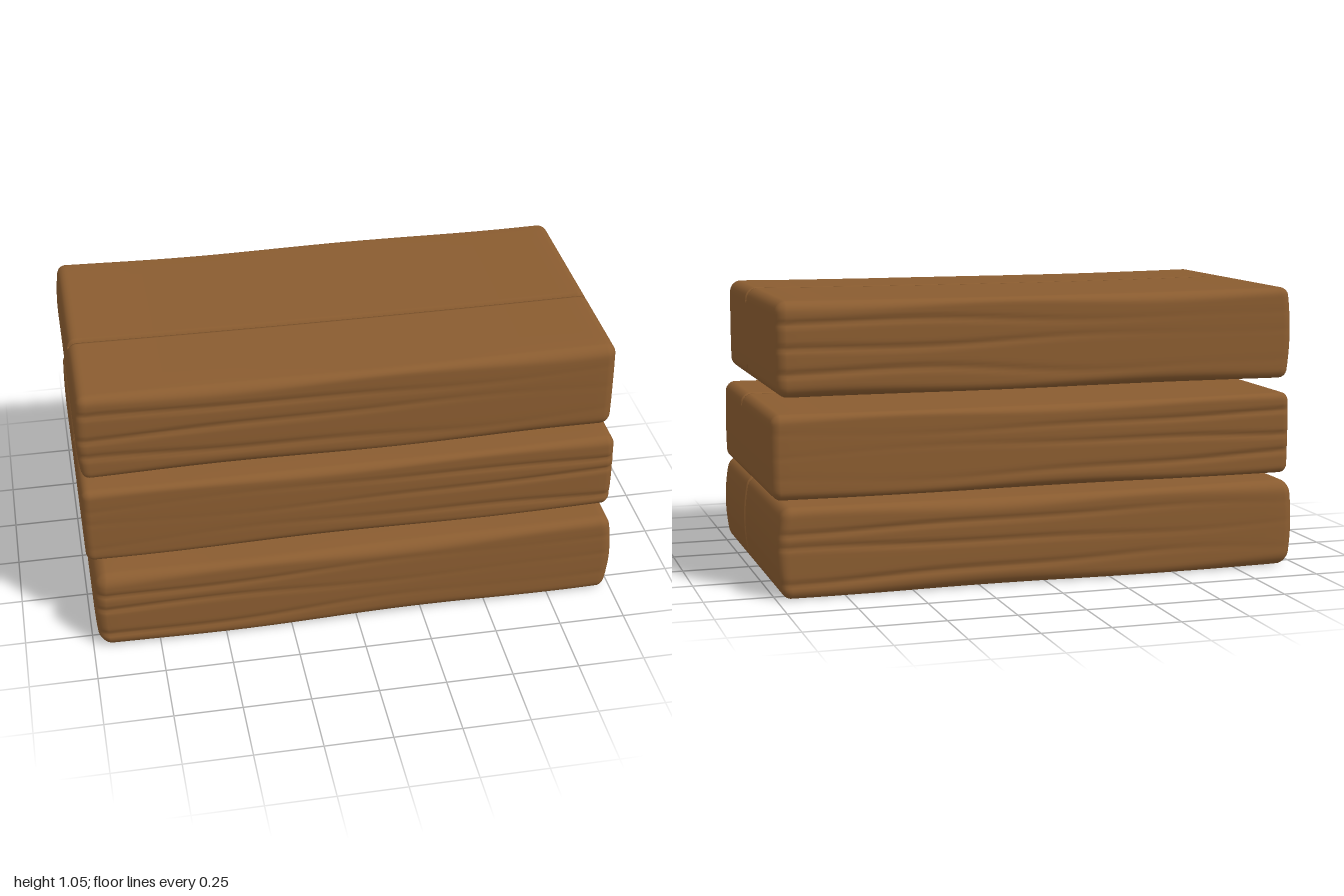
import * as THREE from 'three';
import { mergeVertices } from 'three/addons/utils/BufferGeometryUtils.js';

const GROOVE_Z = 0.1;
const GROOVE_HALF_WIDTH = 0.014;

// Grid positions along one axis: dense in the rounded edges, even between them
function axisStops(half, r, count, extra = []) {
  const rim = [45, 30, 15, 0].map((a) => half - r + r * Math.tan((a * Math.PI) / 180));
  const inner = half - r;
  const stops = [...rim, ...rim.map((v) => -v), ...extra];
  for (let i = 1; i < count; i++) stops.push(-inner + (2 * inner * i) / count);
  return stops.sort((a, b) => a - b);
}

// Narrow carved line at height c
const cut = (v, c, w) => Math.exp(-(((v - c) / w) ** 2));

// Wood grain depth on the long sides
function grain(x, t, seed) {
  const sway = 0.06 * Math.sin(x * 2.6 + seed) + 0.025 * Math.sin(x * 6 + seed * 2);
  const fade = 0.55 + 0.45 * Math.sin(x * 2 + seed * 1.7 + 2.5);
  return 0.008 * fade * (cut(t, 0.5 + sway, 0.06) + cut(t, 0.05 - sway, 0.06) + cut(t, -0.55 + sway * 1.5, 0.07));
}

// Rounded timber block with a carved joint line and slightly worn faces
function slabGeometry({ size, r, groove, depth, seed, bulge, taper }) {
  const [hx, hy, hz] = size.map((s) => s / 2);
  const g = GROOVE_HALF_WIDTH;
  const joint = [-1.6, -1, -0.5, 0, 0.5, 1, 1.6].map((k) => GROOVE_Z + k * g);
  const stops = [axisStops(hx, r, 48), axisStops(hy, r, 26), axisStops(hz, r, 18, joint)];
  const box = new THREE.BoxGeometry(1, 1, 1, ...stops.map((s) => s.length - 1));
  box.deleteAttribute('uv');
  box.deleteAttribute('normal');
  const geo = mergeVertices(box, 1e-5);
  const pos = geo.attributes.position;
  const p = new THREE.Vector3(), q = new THREE.Vector3(), n = new THREE.Vector3();

  for (let i = 0; i < pos.count; i++) {
    p.fromBufferAttribute(pos, i);
    p.set(...[p.x, p.y, p.z].map((v, a) => stops[a][Math.round((v + 0.5) * (stops[a].length - 1))]));
    // Round the edges by a radius that wanders along the length
    const rad = r * (1 + 0.25 * Math.sin(p.x * 5 + seed));
    q.set(
      THREE.MathUtils.clamp(p.x, -hx + rad, hx - rad),
      THREE.MathUtils.clamp(p.y, -hy + rad, hy - rad),
      THREE.MathUtils.clamp(p.z, -hz + rad, hz - rad)
    );
    n.subVectors(p, q).normalize();
    const z = p.z;
    p.copy(q).addScaledVector(n, rad);

    // Joint line between the two boards
    const d = Math.max(0, 1 - Math.abs(z - GROOVE_Z) / g);
    const onTop = groove.top && n.y > 0.1;
    const onBottom = groove.bottom && n.y < -0.1;
    const onEnd = groove.end && n.x > 0.1;
    if (d > 0 && (onTop || onBottom || onEnd)) p.addScaledVector(n, -depth * d);

    // Grain, bulging ends, hollow top and a slight taper along the length
    const t = p.y / hy;
    if (Math.abs(n.z) > 0.3) p.z -= n.z * grain(p.x, t, seed + (n.z < 0 ? 2 : 0));
    const side = p.x > 0 ? bulge[1] : bulge[0];
    p.x -= Math.sign(p.x) * side * t * t * Math.abs(p.x / hx) ** 8;
    if (n.y > 0) p.y -= 0.007 * n.y * (1 - (p.x / hx) ** 2);
    p.z *= 1 - taper * (p.x / hx + 1) / 2;
    pos.setXYZ(i, p.x, p.y, p.z);
  }
  geo.computeVertexNormals();
  return geo;
}

export function createModel() {
  const group = new THREE.Group();
  const wood = new THREE.MeshStandardMaterial({ color: 0x8a5c30 });
  wood.name = 'brown wood';

  const slabs = [
    { name: 'bottomSlab', size: [1.98, 0.33, 1.18], at: [0.005, 0.17, 0], r: 0.042, depth: 0.028,
      groove: { top: true, bottom: true, end: true }, seed: 0.6, bulge: [0.015, 0.02], taper: 0.03 },
    { name: 'middleSlab', size: [2.0, 0.31, 1.0], at: [0, 0.5, 0], r: 0.032, depth: 0.024,
      groove: { top: true }, seed: 2.1, bulge: [0.004, 0.004], taper: 0 },
    { name: 'topSlab', size: [1.975, 0.345, 1.0], at: [-0.0125, 0.883, 0], r: 0.038, depth: 0.034,
      groove: { top: true, bottom: true }, seed: 3.9, bulge: [0.015, 0.002], taper: 0.005 },
  ];
  for (const s of slabs) {
    const mesh = new THREE.Mesh(slabGeometry(s), wood);
    mesh.name = s.name;
    mesh.position.set(...s.at);
    group.add(mesh);
  }
  return group;
}
